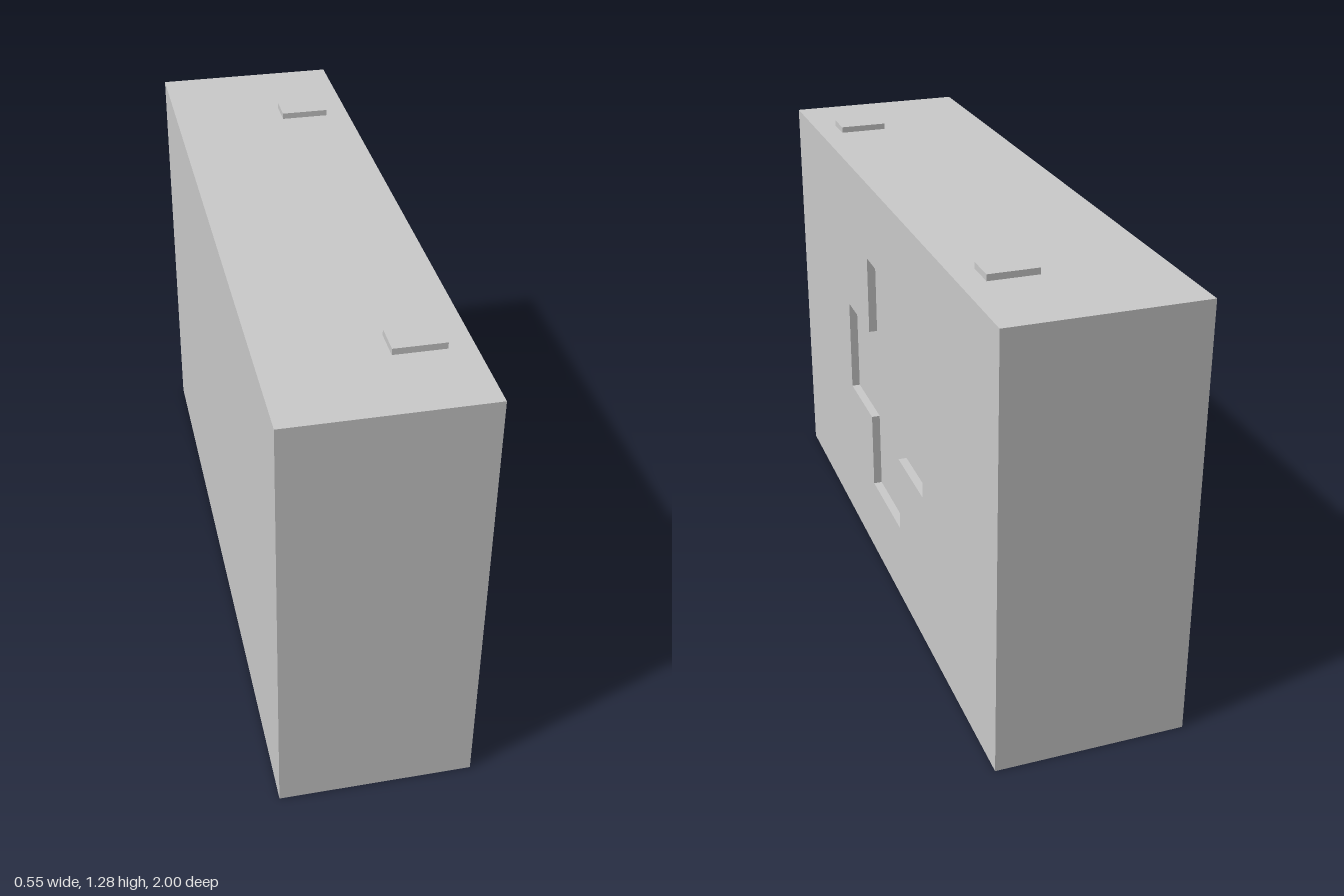
import * as THREE from 'three';
import { mergeGeometries } from 'three/addons/utils/BufferGeometryUtils.js';

const W = 0.546, H = 1.267, L = 2; // case size in x, y, z
const CROSS_Y = 0.638, ARM = 0.388, HALF = 0.147, DEPTH = 0.025;

// Plus-sign outline, counter-clockwise
function crossPoints() {
  const corner = [[ARM, -HALF], [ARM, HALF], [HALF, HALF]];
  const points = [];
  for (let i = 0; i < 4; i++) {
    const c = [1, 0, -1, 0][i], s = [0, 1, 0, -1][i];
    for (const [x, y] of corner) points.push(new THREE.Vector2(c * x - s * y, s * x + c * y + CROSS_Y));
  }
  return points;
}

// Inward-facing walls of the recess, running back from z = 0
function recessWalls(points) {
  const pos = [];
  points.forEach((a, i) => {
    const b = points[(i + 1) % points.length];
    pos.push(a.x, a.y, 0, b.x, b.y, 0, b.x, b.y, -DEPTH);
    pos.push(a.x, a.y, 0, b.x, b.y, -DEPTH, a.x, a.y, -DEPTH);
  });
  const g = new THREE.BufferGeometry();
  g.setAttribute('position', new THREE.Float32BufferAttribute(pos, 3));
  return g;
}

// Reduce to plain flat triangles so that pieces can be merged
function plain(g) {
  const out = g.index ? g.toNonIndexed() : g;
  out.deleteAttribute('uv');
  out.clearGroups();
  out.computeVertexNormals();
  return out;
}

export function createModel() {
  const group = new THREE.Group();
  const material = new THREE.MeshStandardMaterial({ color: 0xcccccc });
  const add = (name, geometry, x = 0, y = 0, z = 0) => {
    const mesh = new THREE.Mesh(geometry, material);
    mesh.name = name;
    mesh.position.set(x, y, z);
    group.add(mesh);
  };

  // Case: a box whose +x side is replaced by a panel with a sunken cross
  const box = new THREE.BoxGeometry(W, H, L).translate(0, H / 2, 0);
  box.setIndex(Array.from(box.index.array).slice(6)); // drop the +x face

  const points = crossPoints();
  const panel = new THREE.Shape([
    new THREE.Vector2(-L / 2, 0), new THREE.Vector2(L / 2, 0),
    new THREE.Vector2(L / 2, H), new THREE.Vector2(-L / 2, H),
  ]);
  panel.holes.push(new THREE.Path(points));
  const side = [
    new THREE.ShapeGeometry(panel),
    new THREE.ShapeGeometry(new THREE.Shape(points)).translate(0, 0, -DEPTH),
    recessWalls(points),
  ].map(g => g.rotateY(Math.PI / 2).translate(W / 2, 0, 0));
  add('caseBody', mergeGeometries([box, ...side].map(plain)));

  // Two small tabs on the top
  const tab = new THREE.BoxGeometry(0.142, 0.018, 0.09);
  add('frontTab', tab, 0.132, H + 0.009, 0.716);
  add('backTab', tab, 0.132, H + 0.009, -0.674);

  return group;
}
